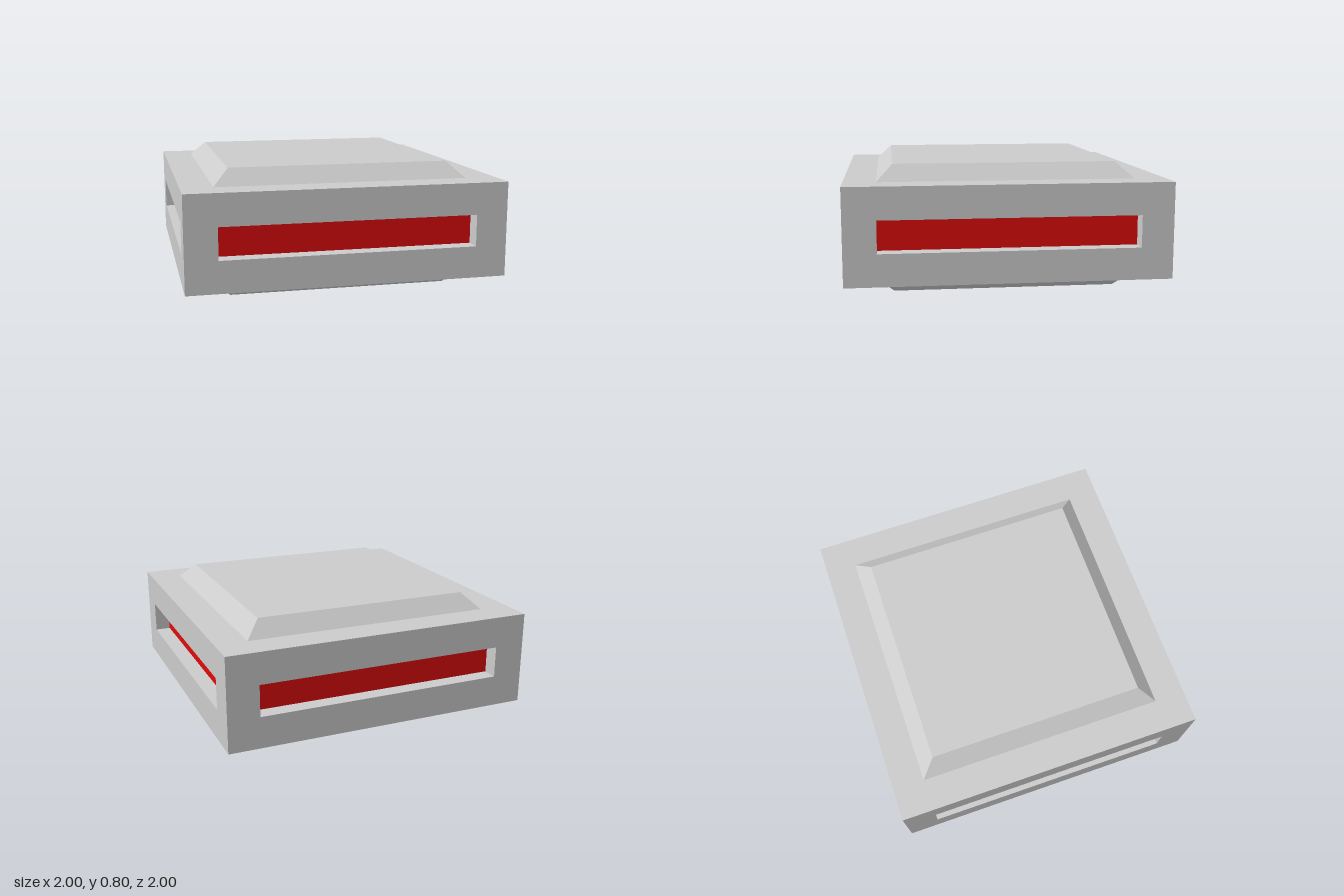
import * as THREE from 'three';

const grey = new THREE.MeshStandardMaterial({ color: 0xcccccc, flatShading: true });
const red = new THREE.MeshStandardMaterial({ color: 0xdd0a0c, flatShading: true });

// Joins rectangular rings [halfWidth, halfHeight, z] facing +z, optionally closing the last one
function loft(rings, closed) {
  const corners = rings.map(([w, h, z]) => [[-w, -h, z], [w, -h, z], [w, h, z], [-w, h, z]]);
  const pos = [];
  const quad = (a, b, c, d) => pos.push(...a, ...b, ...c, ...a, ...c, ...d);
  for (let r = 0; r < corners.length - 1; r++) {
    const a = corners[r], b = corners[r + 1];
    for (let i = 0; i < 4; i++) {
      const j = (i + 1) % 4;
      quad(a[i], a[j], b[j], b[i]);
    }
  }
  if (closed) quad(...corners[corners.length - 1]);
  const geometry = new THREE.BufferGeometry();
  geometry.setAttribute('position', new THREE.Float32BufferAttribute(pos, 3));
  geometry.computeVertexNormals();
  return geometry;
}

function add(parent, name, geometry, material) {
  const mesh = new THREE.Mesh(geometry, material);
  mesh.name = name;
  parent.add(mesh);
}

export function createModel() {
  const model = new THREE.Group();
  model.name = 'slottedBlock';

  const body = new THREE.Group();
  body.name = 'body';
  body.position.y = 0.4;
  model.add(body);

  // Top and bottom: flat rim with a raised, bevelled plate
  const plate = loft([[1, 1, 0.3], [0.8, 0.8, 0.3], [0.7, 0.7, 0.4]], true);
  add(body, 'topPlate', plate.clone().rotateX(-Math.PI / 2), grey);
  add(body, 'bottomPlate', plate.clone().rotateX(Math.PI / 2), grey);

  // Four sides: wall with a recessed slot and a red strip at its back
  const wall = loft([[1, 0.3, 1], [0.8, 0.1, 1], [0.8, 0.1, 0.9]], false);
  const strip = new THREE.PlaneGeometry(1.6, 0.2).translate(0, 0, 0.9);
  ['front', 'left', 'back', 'right'].forEach((side, i) => {
    const group = new THREE.Group();
    group.name = side + 'Side';
    group.rotation.y = i * Math.PI / 2;
    add(group, side + 'Wall', wall, grey);
    add(group, side + 'Strip', strip, red);
    body.add(group);
  });

  return model;
}
